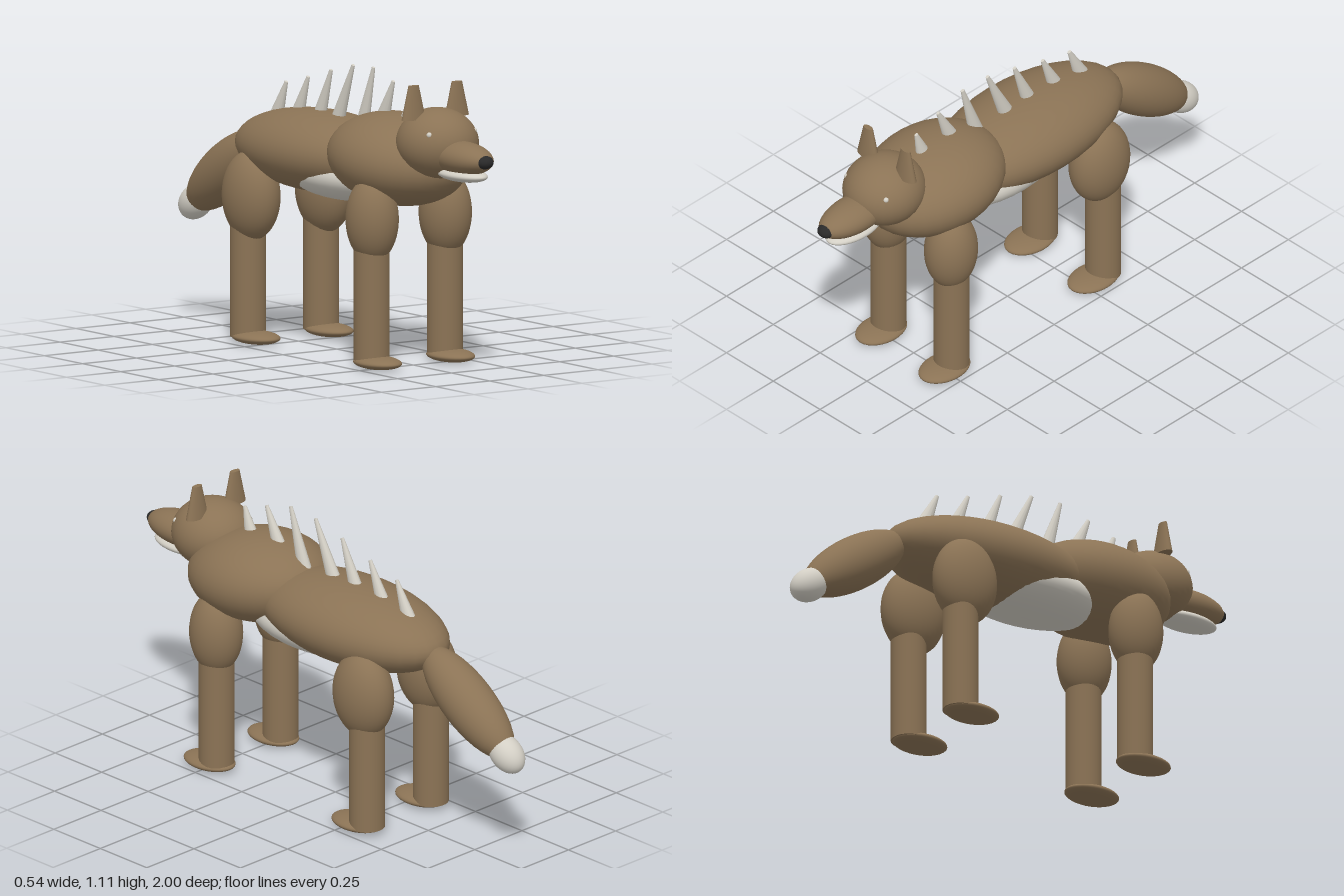
import * as THREE from 'three';

export function createModel() {
  const model = new THREE.Group();
  model.name = 'spinedBeast';

  const material = (name, color) => {
    const m = new THREE.MeshStandardMaterial({ color });
    m.name = name;
    return m;
  };
  const fur = material('brown fur', 0x8b7355);
  const pale = material('pale bone', 0xd3cfc5);
  const dark = material('dark nose', 0x2a2a2a);

  const add = (name, geometry, mat, position, parent = model) => {
    const mesh = new THREE.Mesh(geometry, mat);
    mesh.name = name;
    mesh.position.set(...position);
    parent.add(mesh);
    return mesh;
  };
  const ball = new THREE.SphereGeometry(1, 32, 24);
  const ellipsoid = (name, mat, position, radii, tilt = 0, parent = model) => {
    const mesh = add(name, ball, mat, position, parent);
    mesh.scale.set(...radii);
    mesh.rotation.x = tilt;
    return mesh;
  };

  // Trunk
  ellipsoid('body', fur, [0, 0.75, -0.1], [0.235, 0.155, 0.46]);
  ellipsoid('chest', fur, [0, 0.78, 0.4], [0.25, 0.172, 0.305], 0.1);
  ellipsoid('belly', pale, [0, 0.685, 0.08], [0.19, 0.1, 0.33]);

  // Head
  ellipsoid('head', fur, [0, 0.87, 0.657], [0.155, 0.135, 0.163]);
  ellipsoid('snout', fur, [0, 0.832, 0.82], [0.085, 0.063, 0.168]);
  ellipsoid('jaw', pale, [0, 0.769, 0.82], [0.07, 0.027, 0.135]);
  ellipsoid('nose', dark, [0, 0.832, 0.966], [0.035, 0.026, 0.034]);

  const earShape = new THREE.CylinderGeometry(0.023, 0.053, 0.13, 24);
  earShape.scale(1, 1, 0.48);
  for (const side of [-1, 1]) {
    ellipsoid('eye', pale, [side * 0.104, 0.919, 0.752], [0.011, 0.011, 0.011]);
    add('ear', earShape, fur, [side * 0.1, 1.03, 0.643]);
  }

  // Legs: thigh, shin and flat paw, mirrored left and right
  const legs = [
    { name: 'frontLeg', thigh: [0.57, 0.47], radii: [0.098, 0.165, 0.107], shinZ: 0.467, pawZ: 0.505 },
    { name: 'backLeg', thigh: [0.565, -0.322], radii: [0.099, 0.172, 0.133], shinZ: -0.342, pawZ: -0.29 },
  ];
  const shin = new THREE.CylinderGeometry(0.068, 0.068, 0.47, 32);
  for (const leg of legs) {
    for (const side of [-1, 1]) {
      const group = new THREE.Group();
      group.name = leg.name;
      group.position.x = side * 0.169;
      model.add(group);
      ellipsoid('thigh', fur, [0, ...leg.thigh], leg.radii, 0, group);
      add('shin', shin, fur, [0, 0.26, leg.shinZ], group);
      ellipsoid('paw', fur, [0, 0.027, leg.pawZ], [0.08, 0.025, 0.114], 0, group);
    }
  }

  // Drooping tail with a pale tip
  ellipsoid('tail', fur, [0, 0.6, -0.715], [0.1, 0.102, 0.27], -0.61);
  ellipsoid('tailTip', pale, [0, 0.455, -0.921], [0.061, 0.063, 0.087], -0.61);

  // Spines along the back: base z, base y, tip z, tip y
  const spines = [
    [0.455, 0.935, 0.487, 1.03],
    [0.31, 0.94, 0.37, 1.07],
    [0.17, 0.885, 0.24, 1.107],
    [0.012, 0.89, 0.107, 1.1],
    [-0.11, 0.885, -0.037, 1.064],
    [-0.25, 0.88, -0.187, 1.02],
    [-0.385, 0.865, -0.33, 0.984],
  ];
  for (const [z0, y0, z1, y1] of spines) {
    const base = new THREE.Vector3(0, y0, z0);
    const axis = new THREE.Vector3(0, y1 - y0, z1 - z0);
    const length = axis.length() + 0.03;
    axis.normalize();
    const geometry = new THREE.CylinderGeometry(0.008, 0.034, length, 12);
    geometry.scale(0.75, 1, 1);
    const center = base.addScaledVector(axis, length / 2 - 0.03);
    const spine = add('spine', geometry, pale, center.toArray());
    spine.rotation.x = Math.atan2(axis.z, axis.y);
  }

  return model;
}
